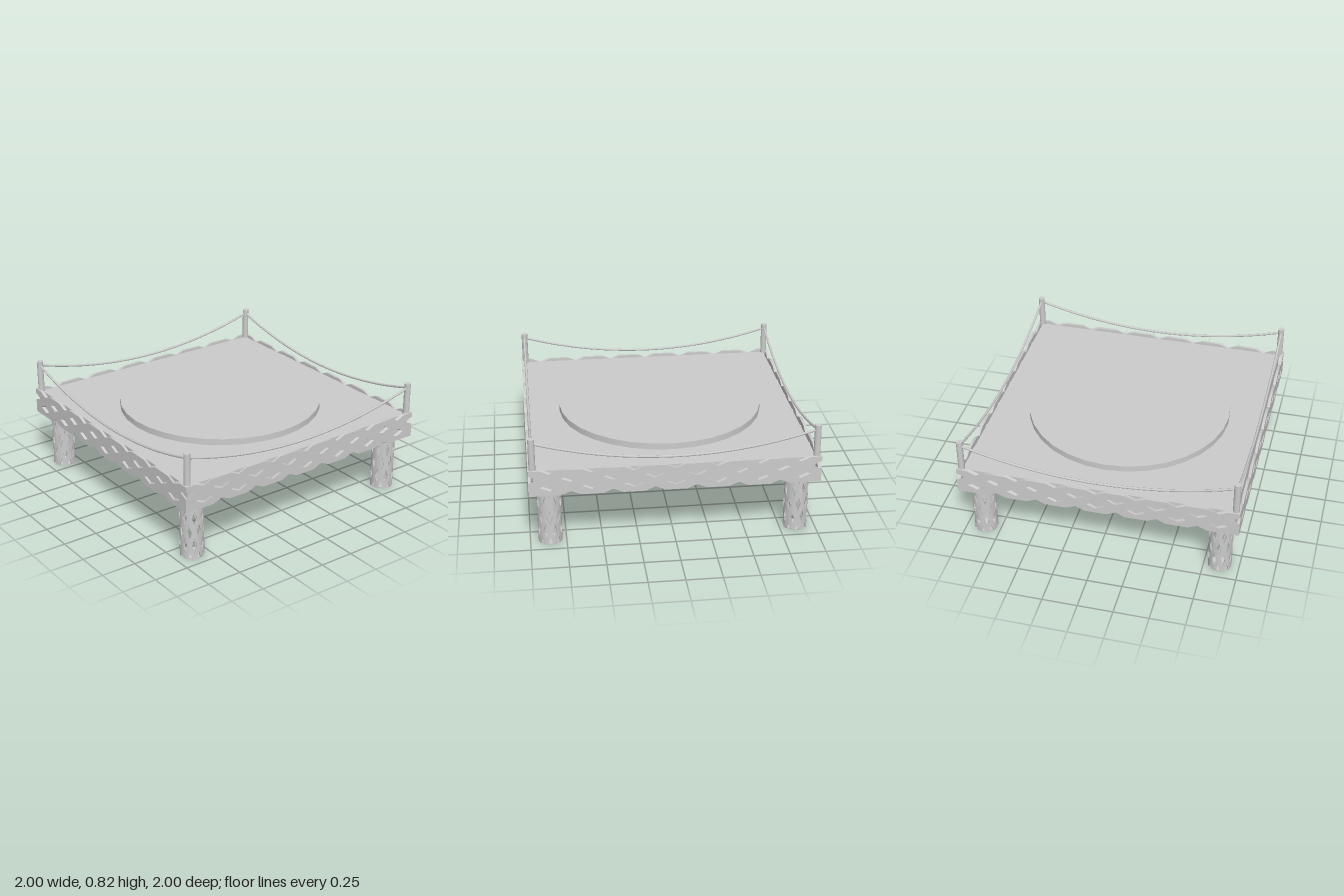
import * as THREE from 'three';
import { toCreasedNormals } from 'three/addons/utils/BufferGeometryUtils.js';

const material = new THREE.MeshStandardMaterial({ color: 0xcccccc });

function add(parent, name, geometry, x = 0, y = 0, z = 0) {
  const mesh = new THREE.Mesh(geometry, material);
  mesh.name = name;
  mesh.position.set(x, y, z);
  parent.add(mesh);
  return mesh;
}

// Lattice sheet of diamond cells, each with a diamond hole.
// map(i, j, d) places column i, row j; d = 0 is the outer skin, 1 the inner.
function lattice({ cols, rows, ratio, steps, wrap, map }) {
  const pos = [];
  const quad = (pts, flip) => {
    const [a, b, c, d] = flip ? [...pts].reverse() : pts;
    for (const p of [a, b, c, a, c, d]) pos.push(p.x, p.y, p.z);
  };
  const last = wrap ? cols - 1 : cols;
  for (let j = 0; j <= rows; j++) for (let i = 0; i <= last; i++) {
    if ((i + j) % 2) continue;
    for (const sx of [-1, 1]) for (const sy of [-1, 1]) {
      if (j + sy < 0 || j + sy > rows) continue;
      if (!wrap && (i + sx < 0 || i + sx > cols)) continue;
      const endV = j === 0 || j === rows;
      const endU = !wrap && (i === 0 || i === cols);
      const r = endU && endV ? 0 : ratio; // corners stay solid
      const flip = sx * sy < 0;
      const at = (t, k, d) => map(i + sx * k * (1 - t), j + sy * k * t, d);
      for (let s = 0; s < steps; s++) {
        const t = s / steps, u = (s + 1) / steps;
        quad([at(t, r, 0), at(t, 1, 0), at(u, 1, 0), at(u, r, 0)], flip);
        quad([at(t, r, 1), at(u, r, 1), at(u, 1, 1), at(t, 1, 1)], flip);
        if (r) quad([at(t, r, 0), at(u, r, 0), at(u, r, 1), at(t, r, 1)], flip);
      }
      // rims along the cut edges
      if (endV) quad([at(0, r, 0), at(0, r, 1), at(0, 1, 1), at(0, 1, 0)], flip);
      if (endU) quad([at(1, r, 0), at(1, 1, 0), at(1, 1, 1), at(1, r, 1)], flip);
    }
  }
  const geometry = new THREE.BufferGeometry();
  geometry.setAttribute('position', new THREE.Float32BufferAttribute(pos, 3));
  return toCreasedNormals(geometry, 0.6);
}

export function createModel() {
  const model = new THREE.Group();
  model.name = 'platform';

  // Solid deck and raised round stage
  add(model, 'deck', new THREE.BoxGeometry(1.93, 0.165, 1.93), 0, 0.5025, 0);
  add(model, 'stage', new THREE.CylinderGeometry(0.74, 0.74, 0.05, 32), 0, 0.605, 0);

  // Lattice skirt panel, mitred at its ends
  const panel = lattice({
    cols: 14, rows: 3, ratio: 0.46, steps: 1, wrap: false,
    map: (i, j, d) => new THREE.Vector3(
      (i / 7 - 1) * (1 - 0.02 * d), 0.412 + j * 0.188 / 3, 1 - 0.02 * d),
  });

  // Round lattice leg
  const leg = lattice({
    cols: 16, rows: 4, ratio: 0.52, steps: 3, wrap: true,
    map: (i, j, d) => {
      const a = i * Math.PI / 8, r = 0.083 - 0.01 * d;
      return new THREE.Vector3(Math.sin(a) * r, j * 0.105, Math.cos(a) * r);
    },
  });
  const foot = new THREE.CylinderGeometry(0.073, 0.073, 0.006, 24);

  // Corner post and sagging rope
  const post = new THREE.CylinderGeometry(0.023, 0.023, 0.25, 16);
  const sag = [];
  for (let k = -6; k <= 6; k++) {
    const t = k / 6;
    sag.push(new THREE.Vector3(t * 0.97, 0.648 + 0.145 * t * t, 0.97));
  }
  const rope = new THREE.TubeGeometry(new THREE.CatmullRomCurve3(sag), 32, 0.009, 8);

  // One skirt panel, leg, post and rope per side
  for (let k = 0; k < 4; k++) {
    const side = new THREE.Group();
    side.name = 'side' + (k + 1);
    side.rotation.y = k * Math.PI / 2;
    add(side, 'skirtPanel', panel);
    add(side, 'leg', leg, 0.862, 0, 0.862);
    add(side, 'foot', foot, 0.862, 0.003, 0.862);
    add(side, 'post', post, 0.968, 0.7, 0.968);
    add(side, 'rope', rope);
    model.add(side);
  }
  return model;
}
